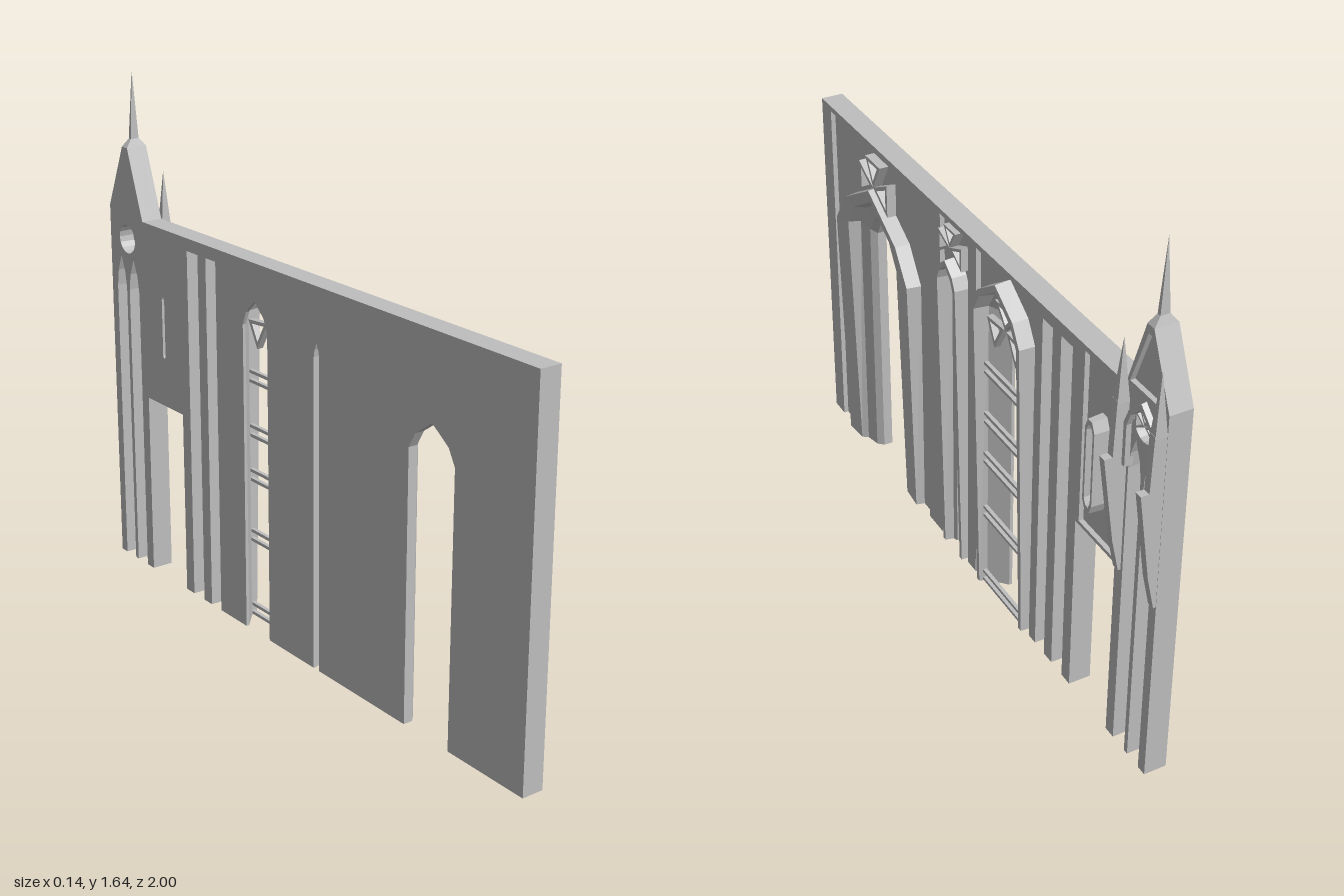
import * as THREE from 'three';

// Profiles are drawn in (u, y), where u = -z, and pushed outward along +x.
const stone = new THREE.MeshStandardMaterial({ color: 0xbebebe, side: THREE.DoubleSide });
stone.name = 'stone';

const toPoints = (list) => list.map(([u, y]) => new THREE.Vector2(u, y));

function addMesh(group, name, geometry) {
  const mesh = new THREE.Mesh(geometry, stone);
  mesh.name = name;
  group.add(mesh);
  return mesh;
}

// Flat plate between x0 and x1, with optional holes
function plate(group, name, outline, holes, x0, x1) {
  const shape = new THREE.Shape(toPoints(outline));
  holes.forEach((h) => shape.holes.push(new THREE.Path(toPoints(h))));
  const geometry = new THREE.ExtrudeGeometry(shape, { depth: x1 - x0, bevelEnabled: false });
  geometry.rotateY(Math.PI / 2).translate(x0, 0, 0);
  return addMesh(group, name, geometry);
}

const rect = (a, b, y0, y1) => [[a, y0], [a, y1], [b, y1], [b, y0]];

// Pointed arch, left foot to right foot
function arch(c, w, spring, apex, base = 0) {
  const h = apex - spring;
  return [[c - w, base], [c - w, spring], [c - 0.72 * w, spring + 0.5 * h], [c, apex],
    [c + 0.72 * w, spring + 0.5 * h], [c + w, spring], [c + w, base]];
}

// Tall closed ring for the little slit window
function slitRing(c, w, y0, y1) {
  const k = w * 1.3;
  return [[c - w, y0 + k], [c - w, y1 - k], [c - w * 0.45, y1], [c + w * 0.45, y1],
    [c + w, y1 - k], [c + w, y0 + k], [c + w * 0.45, y0], [c - w * 0.45, y0]];
}

const circle = (c, y, r, n = 16) => Array.from({ length: n }, (_, i) => {
  const t = (i / n) * Math.PI * 2;
  return [c + r * Math.cos(t), y + r * Math.sin(t)];
});

// Moulding lofted through rings of { pts, x }, outermost first;
// its proud front leans outward with height by flare
function moulding(group, name, rings, flare = 0, closed = false) {
  const rows = rings.map(({ pts, x }) => pts.map(([u, y]) => {
    const lean = x > 0 ? flare * Math.min(1, Math.max(0, (y - 0.55) / 0.3)) : 0;
    return [x + lean, y, -u];
  }));
  const pos = [];
  const tri = (a, b, c) => pos.push(...a, ...b, ...c);
  const n = rows[0].length;
  for (let r = 0; r + 1 < rows.length; r++) {
    for (let i = 0; i < (closed ? n : n - 1); i++) {
      const j = (i + 1) % n;
      tri(rows[r][i], rows[r + 1][i], rows[r + 1][j]);
      tri(rows[r][i], rows[r + 1][j], rows[r][j]);
    }
  }
  // Feet of an open arch
  if (!closed) {
    for (const i of [0, n - 1]) {
      const section = rows.map((row) => new THREE.Vector2(row[i][2], row[i][0]));
      THREE.ShapeUtils.triangulateShape(section, []).forEach(([a, b, c]) => {
        if (i === 0) tri(rows[a][i], rows[c][i], rows[b][i]);
        else tri(rows[a][i], rows[b][i], rows[c][i]);
      });
    }
  }
  const geometry = new THREE.BufferGeometry();
  geometry.setAttribute('position', new THREE.Float32BufferAttribute(pos, 3));
  geometry.computeVertexNormals();
  addMesh(group, name, geometry);
}

// Open triangular frames making up a flared ornament
function triangles(group, name, c, y, list, x1 = 0.015) {
  list.forEach((t) => {
    const p = t.map(([a, b]) => [c + a, y + b]);
    const m = [0, 1].map((k) => (p[0][k] + p[1][k] + p[2][k]) / 3);
    const hole = p.map((q) => q.map((v, k) => m[k] + (v - m[k]) * 0.62));
    plate(group, name, p, [hole], -0.02, x1);
  });
}

const pattee = (w, up, half, low, high) => [
  [[0, 0], [half, up], [-half, up]],
  [[0, 0], [-w, high], [-w, low]],
  [[0, 0], [w, low], [w, high]],
];

export function createModel() {
  const model = new THREE.Group();
  model.name = 'gothicWall';

  const DOOR = -0.605, LANCET = -0.102, WINDOW = 0.198, SLIT = 0.698, TOWER = 0.9;
  const top = [[1, 0], [1, 1.2], [0.915, 1.4], [0.885, 1.4], [0.807, 1.18], [-1, 1.18], [-1, 0]];
  const towerLights = [...arch(0.867, 0.029, 0.94, 1.045), ...arch(0.94, 0.028, 0.94, 1.045)];
  const rest = [...rect(0.4, 0.453, 0, 1.14), ...rect(0.496, 0.555, 0, 1.14),
    ...rect(0.598, 0.8, 0, 0.6), ...towerLights];
  const rose = circle(TOWER, 1.105, 0.046);

  // Wall in three layers: narrow openings behind, wide ones inside, sunken panels in front
  plate(model, 'wallBack', [...arch(DOOR, 0.094, 0.83, 0.925), ...arch(LANCET, 0.013, 0.97, 1.015),
    ...arch(WINDOW, 0.062, 0.98, 1.065), ...rest, ...top],
  [slitRing(SLIT, 0.007, 0.76, 0.96), rose], -0.07, -0.06);
  plate(model, 'wallCore', [...arch(DOOR, 0.19, 0.83, 0.99), ...arch(LANCET, 0.05, 0.97, 1.045),
    ...arch(WINDOW, 0.13, 1.0, 1.13), ...rest, ...top],
  [slitRing(SLIT, 0.02, 0.72, 1.0), rose], -0.06, -0.015);
  const gable = [[0.825, 1.2], [0.893, 1.375], [0.907, 1.375], [0.98, 1.2]];
  plate(model, 'wallFace', [...rect(-0.935, -0.28, 0, 1.163), ...rect(-0.19, -0.02, 0, 1.163),
    ...rect(0.03, 0.365, 0, 1.163), ...rest, ...top],
  [rect(0.615, 0.785, 0.612, 1.163), rose, gable], -0.015, 0);

  // Door surround: broad hood stepping in to a splayed opening
  const door = (w, spring, apex, x) => ({ pts: arch(DOOR, w, spring, apex), x });
  moulding(model, 'doorSurround', [
    door(0.257, 0.83, 1.05, -0.015), door(0.25, 0.83, 1.045, 0.012), door(0.172, 0.85, 1.005, 0.006),
    door(0.158, 0.85, 0.99, -0.012), door(0.112, 0.84, 0.945, -0.022), door(0.094, 0.83, 0.925, -0.04),
    door(0.094, 0.83, 0.925, -0.06)], 0.02);
  triangles(model, 'doorOrnament', DOOR, 1.052, pattee(0.096, 0.088, 0.05, -0.058, 0.05));

  // Lancet surround
  const lancet = (w, spring, apex, x) => ({ pts: arch(LANCET, w, spring, apex), x });
  moulding(model, 'lancetSurround', [
    lancet(0.064, 0.99, 1.065, -0.015), lancet(0.062, 0.99, 1.063, 0.012), lancet(0.048, 0.98, 1.045, 0.012),
    lancet(0.042, 0.98, 1.04, -0.015), lancet(0.028, 0.975, 1.03, -0.02), lancet(0.013, 0.97, 1.015, -0.06)], 0.02);
  triangles(model, 'lancetOrnament', LANCET, 1.1, pattee(0.07, 0.06, 0.036, -0.045, 0.03));

  // Tall window: deep splay, cross bars and tracery
  const win = (w, spring, apex, x) => ({ pts: arch(WINDOW, w, spring, apex), x });
  moulding(model, 'windowSurround', [
    win(0.14, 1.01, 1.147, -0.015), win(0.138, 1.01, 1.143, 0.012), win(0.122, 1.0, 1.12, 0.012),
    win(0.115, 1.0, 1.112, -0.012), win(0.062, 0.98, 1.065, -0.06)], 0.022);
  for (const y of [0.81, 0.635, 0.49, 0.29, 0.04]) {
    for (const drop of [0, 0.03]) {
      const bar = addMesh(model, 'windowBar', new THREE.BoxGeometry(0.012, 0.01, 0.24));
      bar.position.set(-0.005, y - drop, -WINDOW);
    }
  }
  triangles(model, 'windowTracery', WINDOW, 0.985, [
    [[0, 0], [0.058, 0.07], [-0.058, 0.07]],
    [[-0.008, 0], [-0.105, -0.008], [-0.06, -0.09]],
    [[0.008, 0], [0.06, -0.09], [0.105, -0.008]]], 0);

  // Slit window frame
  const slit = (w, y0, y1, x) => ({ pts: slitRing(SLIT, w, y0, y1), x });
  moulding(model, 'slitWindowFrame', [
    slit(0.025, 0.71, 1.01, -0.015), slit(0.023, 0.713, 1.007, 0.03), slit(0.015, 0.73, 0.99, 0.03),
    slit(0.012, 0.74, 0.98, -0.01), slit(0.007, 0.76, 0.96, -0.06)], 0, true);

  // Tower arch and rose tracery
  const hood = (w, apex, x) => ({ pts: arch(TOWER + 0.002, w, 1.08, apex, 0.95), x });
  moulding(model, 'towerArch', [hood(0.076, 1.185, -0.01), hood(0.074, 1.18, 0.015),
    hood(0.06, 1.162, 0.015), hood(0.058, 1.16, -0.01)]);
  triangles(model, 'roseTracery', TOWER, 1.105, pattee(0.044, 0.044, 0.028, -0.03, 0.026), 0);

  // Spire
  const spire = new THREE.LatheGeometry(toPoints([[0.0495, 1.4], [0.02, 1.425], [0, 1.64]]), 4)
    .toNonIndexed();
  spire.rotateY(Math.PI / 4).scale(1, 1, 0.45).translate(-0.035, 0, -TOWER);
  spire.computeVertexNormals();
  addMesh(model, 'spire', spire);

  // Leaning buttresses, each with a pinnacle
  const side = new THREE.Shape(toPoints([[-0.01, 0.6], [0.008, 0.6], [0.03, 0.705], [0.067, 0.98],
    [0.042, 0.98], [0.036, 1.15], [-0.01, 1.15]]));
  for (const u of [0.817, 0.987]) {
    const buttress = addMesh(model, 'buttress',
      new THREE.ExtrudeGeometry(side, { depth: 0.024, bevelEnabled: false }));
    buttress.position.z = -u - 0.012;
    const cone = new THREE.ConeGeometry(0.0255, 0.19, 4, 1).toNonIndexed();
    cone.rotateY(Math.PI / 4).scale(1, 1, 0.7);
    cone.computeVertexNormals();
    addMesh(model, 'pinnacle', cone).position.set(0.018, 1.235, -u);
  }
  return model;
}
